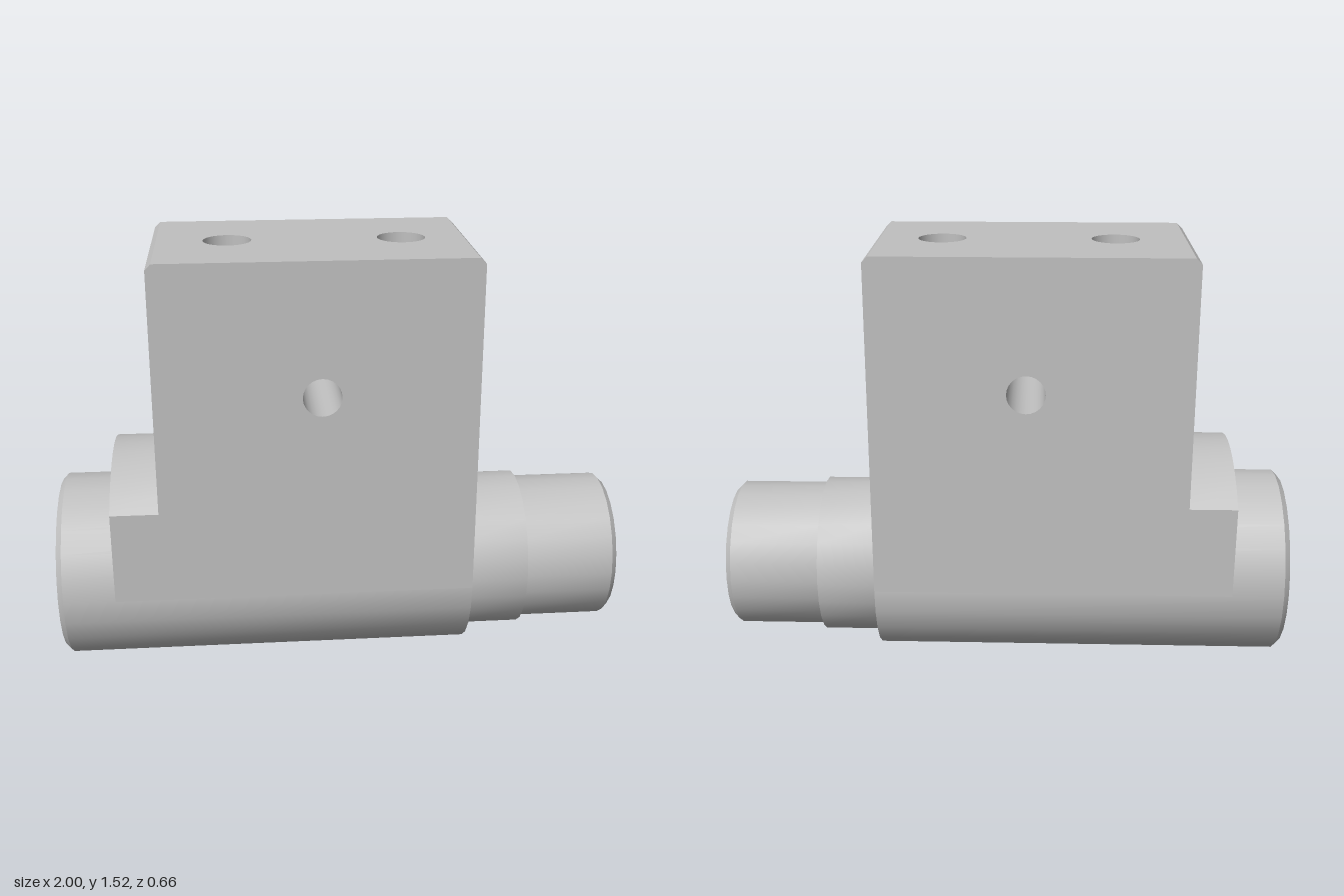
import * as THREE from 'three';
import { toCreasedNormals } from 'three/addons/utils/BufferGeometryUtils.js';

const SIDES = 24;
const R = 0.33;                        // barrel radius, axis height and half depth
const LEFT = -0.635, RIGHT = 0.455, TOP = 1.52, CH = 0.02;

// points along a circular arc
function arc(cx, cy, r, a0, a1, n) {
  return Array.from({ length: n + 1 }, (_, i) => {
    const a = a0 + (a1 - a0) * i / n;
    return new THREE.Vector2(cx + r * Math.cos(a), cy + r * Math.sin(a));
  });
}
const v = (x, y) => new THREE.Vector2(x, y);

// flat face with round holes given as [x, y, radius]
function face(points, holes = []) {
  const shape = new THREE.Shape(points);
  for (const [x, y, r] of holes) {
    shape.holes.push(new THREE.Path(arc(x, y, r, 0, Math.PI * 2, SIDES).slice(0, -1)));
  }
  return new THREE.ShapeGeometry(shape);
}

// inward-facing hole wall, opening at the origin towards +y
function pocket(r, depth, floor) {
  const profile = [v(r, 0), v(r, -depth)];
  if (floor) profile.push(v(0, -depth));
  return toCreasedNormals(new THREE.LatheGeometry(profile, SIDES), 0.6);
}

export function createModel() {
  const model = new THREE.Group();
  model.name = 'shaftBlock';
  const steel = new THREE.MeshStandardMaterial({ color: 0xc0c0c0 });
  steel.name = 'light grey metal';

  const add = (name, geometry, x, y, z) => {
    const mesh = new THREE.Mesh(geometry, steel);
    mesh.name = name;
    mesh.position.set(x, y, z);
    model.add(mesh);
  };

  // bored barrel and stepped shaft, turned around the x axis
  const profile = [
    v(0, -0.1), v(0.2, -0.1), v(0.2, -1), v(0.31, -1), v(R, -0.98), v(R, RIGHT),
    v(0.284, RIGHT), v(0.284, 0.665), v(0.265, 0.665), v(0.265, 0.98), v(0.245, 1), v(0, 1),
  ];
  const turned = toCreasedNormals(new THREE.LatheGeometry(profile, SIDES), 0.6);
  add('barrelAndShaft', turned.rotateZ(-Math.PI / 2), 0, R, 0);

  // front and back faces of the block, with the cross hole
  for (const s of [1, -1]) {
    const outline = [
      v(LEFT, R), v(RIGHT, R), v(RIGHT, TOP - CH), v(RIGHT - CH, TOP),
      v(LEFT + CH, TOP), v(LEFT, TOP - CH),
    ].map(p => v(p.x * s, p.y));
    const plate = face(outline, [[-0.075 * s, 1.06, 0.066]]);
    if (s < 0) plate.rotateY(Math.PI);
    add(s > 0 ? 'blockFront' : 'blockBack', plate, 0, 0, s * R);
  }

  // right end with a rounded foot, and left end
  const endOutline = [v(R, TOP - CH), v(-R, TOP - CH), ...arc(0, R, R, Math.PI, Math.PI * 2, SIDES / 2)];
  add('blockRightEnd', face(endOutline, [[0, 1.19, 0.1]]).rotateY(Math.PI / 2), RIGHT, 0, 0);
  const leftOutline = [v(-R, 0.6), v(R, 0.6), v(R, TOP - CH), v(-R, TOP - CH)];
  add('blockLeftEnd', face(leftOutline).rotateY(-Math.PI / 2), LEFT, 0, 0);

  // top face with two holes and chamfered ends
  const topOutline = [v(LEFT + CH, -R), v(RIGHT - CH, -R), v(RIGHT - CH, R), v(LEFT + CH, R)];
  add('blockTop', face(topOutline, [[-0.375, 0, 0.083], [0.22, 0, 0.083]]).rotateX(-Math.PI / 2), 0, TOP, 0);
  for (const s of [1, -1]) {
    const strip = new THREE.PlaneGeometry(CH * Math.SQRT2, R * 2).rotateX(-Math.PI / 2).rotateZ(-s * Math.PI / 4);
    add('topChamfer', strip, s > 0 ? RIGHT - CH / 2 : LEFT + CH / 2, TOP - CH / 2, 0);
  }

  // hole walls
  add('crossHole', pocket(0.066, R * 2, false).rotateX(Math.PI / 2), -0.075, 1.06, R);
  add('sideHole', pocket(0.1, 0.33, true).rotateZ(-Math.PI / 2), RIGHT, 1.19, 0);
  add('topHoleLeft', pocket(0.083, 0.7, true), -0.375, TOP, 0);
  add('topHoleRight', pocket(0.083, 0.28, false), 0.22, TOP, 0);

  // arched shoulder between the barrel end and the block
  const rise = 0.465, a0 = Math.acos(R / rise);
  const shoulder = new THREE.Shape([
    v(R, R), ...arc(0, R, rise, a0, Math.PI - a0, 10), v(-R, R),
    ...arc(0, R, 0.3, Math.PI, 0, SIDES / 2),
  ]);
  const arch = new THREE.ExtrudeGeometry(shoulder, { depth: LEFT + 0.8, bevelEnabled: false });
  add('shoulder', toCreasedNormals(arch, 0.6).rotateY(Math.PI / 2), -0.8, 0, 0);

  return model;
}
